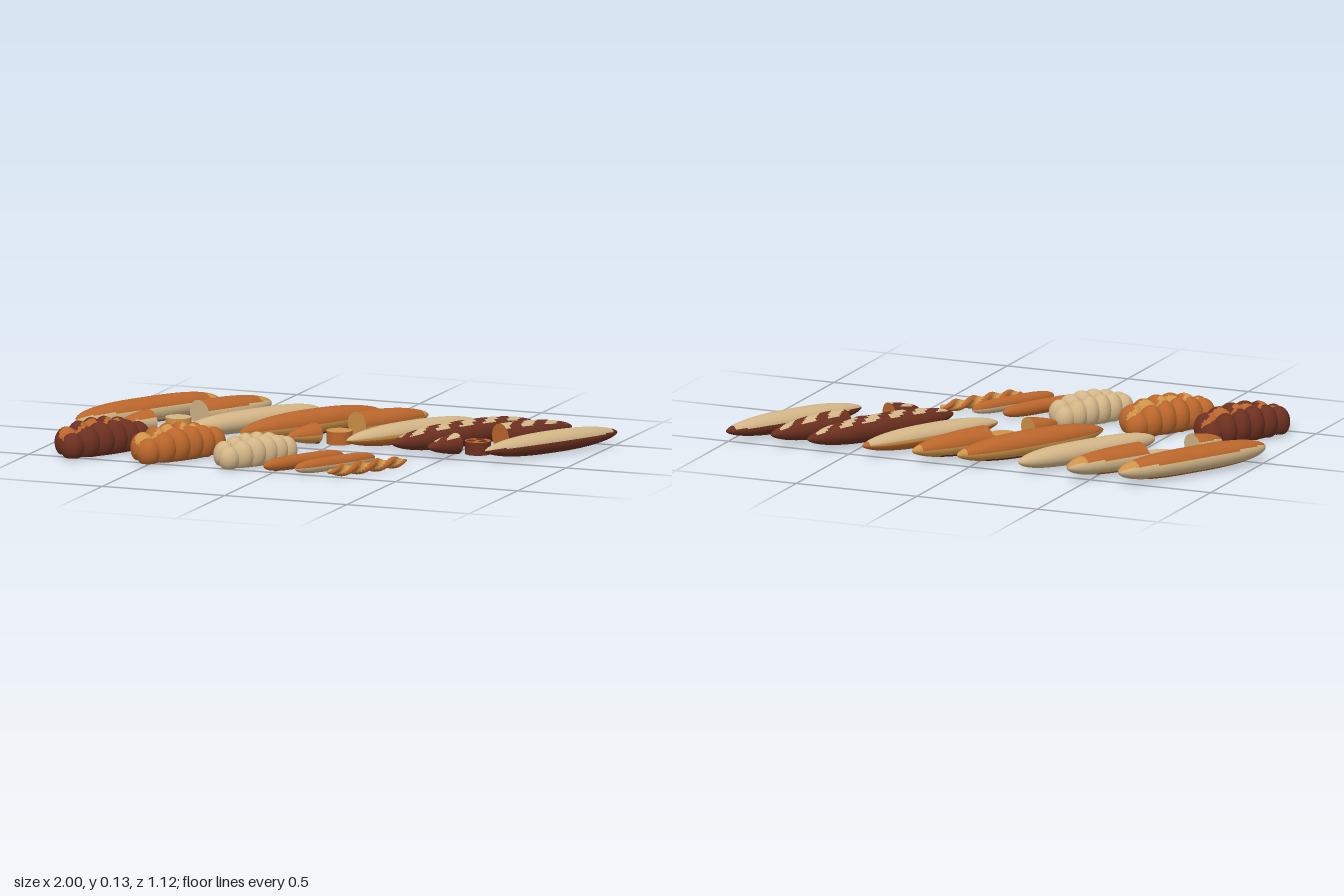
import * as THREE from 'three';

const TAN = 0, GOLD = 1, CRUST = 2, DARK = 3;
const MATS = [['paleDough', 0xd2b587], ['goldenCrust', 0xcf9448], ['brownCrust', 0xba662b], ['darkCrust', 0x6c3020]]
  .map(([name, color]) => Object.assign(new THREE.MeshStandardMaterial({ color }), { name }));
const SLANT = -Math.PI / 6;

// closed skin swept along u (0..1) and around angle a, coloured face by face
function skin(name, rows, cols, point, paint) {
  const pos = [], lists = MATS.map(() => []);
  for (let i = 0; i <= rows; i++)
    for (let j = 0; j < cols; j++) pos.push(...point(i / rows, (j / cols) * Math.PI * 2));
  for (let i = 0; i < rows; i++)
    for (let j = 0; j < cols; j++) {
      const k = (j + 1) % cols;
      const a = i * cols + j, b = a + cols, c = i * cols + k, d = c + cols;
      lists[paint((i + 0.5) / rows, ((j + 0.5) / cols) * Math.PI * 2)].push(a, b, c, b, d, c);
    }
  const g = new THREE.BufferGeometry();
  g.setAttribute('position', new THREE.Float32BufferAttribute(pos, 3));
  g.setIndex(lists.flat());
  let start = 0;
  lists.forEach((l, m) => {
    if (l.length) g.addGroup(start, l.length, m);
    start += l.length;
  });
  g.computeVertexNormals();
  const mesh = new THREE.Mesh(g, MATS);
  mesh.name = name;
  return mesh;
}

// long loaf, or the part of one between t0 and t1 (-1..1), with cut faces
function loaf(name, x, z, o, t0 = -1, t1 = 1) {
  const { len, w, h, p, q, paint, crumb, wave = () => 1 } = o;
  const radius = t => Math.pow(Math.max(0, 1 - Math.pow(Math.abs(t), p)), q) + 0.002;
  const a0 = Math.acos(t0), a1 = Math.acos(t1);
  const along = u => Math.cos(a0 + (a1 - a0) * u);
  const group = new THREE.Group();
  group.name = name;
  group.add(skin('crust', 48, 40, (u, a) => {
    const t = along(u), r = radius(t) * wave(t, a) / 2;
    return [Math.cos(a) * r * w, Math.sin(a) * r * h, -t * len / 2];
  }, (u, a) => paint(along(u), Math.sin(a), Math.cos(a), a)));
  for (const t of [t0, t1]) {
    if (Math.abs(t) === 1) continue;
    const cut = new THREE.Mesh(new THREE.CircleGeometry(0.5, 40), MATS[crumb]);
    cut.name = 'cutFace';
    cut.scale.set(w * radius(t), h * radius(t), 1);
    cut.position.z = -t * len / 2;
    if (t === t1) cut.rotation.y = Math.PI;
    group.add(cut);
  }
  group.position.set(x, h / 2 + 0.003, z);
  group.rotation.y = SLANT;
  return group;
}

// round slice lying flat
function slice(x, z, d, side, face, spot) {
  const g = new THREE.Group();
  g.name = 'slice';
  const body = new THREE.Mesh(new THREE.CylinderGeometry(d / 2, d / 2, 0.05, 32),
    [MATS[side], MATS[face], MATS[face]]);
  body.name = 'sliceBody';
  body.position.y = 0.025;
  g.add(body);
  if (spot !== undefined)
    for (const a of [0.4, 2.6, 4.6]) {
      const patch = new THREE.Mesh(new THREE.CylinderGeometry(0.017, 0.017, 0.002, 6), MATS[spot]);
      patch.name = 'slicePatch';
      patch.position.set(Math.cos(a) * 0.027, 0.051, Math.sin(a) * 0.027);
      g.add(patch);
    }
  g.position.set(x, 0, z);
  return g;
}

// plaited loaf: two staggered rows of flat-bottomed lobes over a core
function braid(name, x, z, s, main, accent) {
  const g = new THREE.Group();
  g.name = name;
  const lobe = (part, cx, cy, cz, rx, ry, rz, floor, yaw, paint) => {
    const co = Math.cos(yaw), si = Math.sin(yaw);
    const at = (u, a) => {
      const r = Math.sin(u * Math.PI);
      const lx = rx * r * Math.cos(a), lz = rz * Math.cos(u * Math.PI);
      return [cx + lx * co + lz * si, Math.max(floor, cy + ry * r * Math.sin(a)), cz - lx * si + lz * co];
    };
    g.add(skin(part, 24, 28, at, (u, a) => paint(...at(u, a))));
  };
  lobe('core', 0, 0.035, 0, 0.085, 0.065, 0.2, 0, 0,
    (px, py, pz) => (py < 0.002 && Math.abs(px) < 0.014 && Math.abs(pz) < 0.07 ? accent : main));
  for (const side of [-1, 1])
    for (let i = 0; i < 6; i++) {
      const cz = (i - 2.5) * 0.062 + side * 0.015;
      const f = Math.sqrt(1 - Math.pow(cz / 0.26, 2));
      lobe('lobe', side * 0.045 * f, 0.057 * f, cz, 0.06 * f, 0.071 * f, 0.047, 0.003, side * 0.45,
        (px, py, pz) => (py > 0.07 && px * side < 0.028 + 0.016 * Math.sin(pz * 55 + side) ? accent : main));
    }
  g.scale.setScalar(s);
  g.position.set(x, 0, z);
  g.rotation.y = SLANT;
  return g;
}

export function createModel() {
  const model = new THREE.Group();
  model.name = 'breadAssortment';
  const round = { len: 0.69, w: 0.118, h: 0.1, p: 3, q: 0.5 };
  const pointed = { len: 0.69, w: 0.112, h: 0.1, p: 2.5, q: 0.62 };
  const raw = { len: 0.64, w: 0.1, h: 0.085 };

  // bake colours: t along, s up, c across
  const light = (t, s) => {
    if (s > 0.25 + 0.4 * t * t) return t > 0.8 ? GOLD : CRUST;
    return s < -0.72 && Math.abs(t) < 0.65 ? CRUST : TAN;
  };
  const medium = (t, s) => {
    if (s > 0.05) return t > 0.9 ? GOLD : CRUST;
    return s < -0.72 && Math.abs(t) < 0.65 ? DARK : GOLD;
  };
  const scored = (t, s, c) => {
    const u = t * 3 + c * 0.55 + 10;
    return s > 0.5 && Math.abs(t) < 0.9 && Math.abs(c) < 0.75 && u - Math.floor(u) < 0.52 ? TAN : DARK;
  };
  const mediumRaw = (t, s) => (t > 0.92 ? CRUST : s > 0.15 ? TAN : s > -0.1 ? GOLD : CRUST);
  const darkRaw = (t, s) => (t < 0.9 && s > 0.1 + 0.25 * t * t ? TAN : DARK);

  // three bakes: whole loaf, cut loaf with a slice, and pale loaf
  const bakes = [
    { o: { ...round, paint: light, crumb: TAN }, whole: [-0.812, -0.248], half: [-0.604, -0.26],
      heel: [-0.622, -0.225], disc: [-0.657, -0.176, 0.1, GOLD, TAN],
      pale: [-0.377, -0.25, { ...round, ...raw, paint: () => TAN }] },
    { o: { ...pointed, paint: medium, crumb: GOLD }, whole: [-0.142, -0.25], half: [0.04, -0.26],
      heel: [0.059, -0.225], disc: [0.013, -0.148, 0.1, CRUST, GOLD],
      pale: [0.27, -0.256, { ...pointed, ...raw, paint: mediumRaw }] },
    { o: { ...pointed, w: 0.104, paint: scored, crumb: CRUST }, whole: [0.479, -0.25], half: [0.636, -0.238],
      heel: [0.634, -0.228], disc: [0.58, -0.148, 0.1, DARK, CRUST, DARK],
      pale: [0.837, -0.254, { ...pointed, ...raw, paint: darkRaw }] },
  ];
  for (const b of bakes) {
    model.add(
      loaf('wholeLoaf', ...b.whole, b.o),
      loaf('cutLoafHalf', ...b.half, b.o, 0, 1),
      loaf('cutLoafHeel', ...b.heel, b.o, -1, -0.6),
      slice(...b.disc),
      loaf('paleLoaf', ...b.pale));
  }

  // plaited loaves
  model.add(
    braid('darkPlait', -0.762, 0.345, 1, DARK, CRUST),
    braid('brownPlait', -0.452, 0.345, 1, CRUST, GOLD),
    braid('palePlait', -0.136, 0.345, 0.88, TAN, TAN));

  // breadsticks, the last one twisted
  const stick = { len: 0.385, w: 0.052, h: 0.055, p: 4, q: 0.5 };
  model.add(
    loaf('breadstick', 0.075, 0.377, { ...stick, paint: () => CRUST }),
    loaf('breadstick', 0.203, 0.377, { ...stick, paint: (t, s) => (s > 0 ? CRUST : TAN) }),
    loaf('twistedStick', 0.334, 0.375, {
      ...stick, w: 0.046, h: 0.045,
      wave: (t, a) => 0.85 + 0.3 * Math.cos(2 * a - 14 * t),
      paint: (t, s, c, a) => (Math.cos(2 * a - 14 * t) > -0.1 ? CRUST : GOLD),
    }));
  return model;
}
